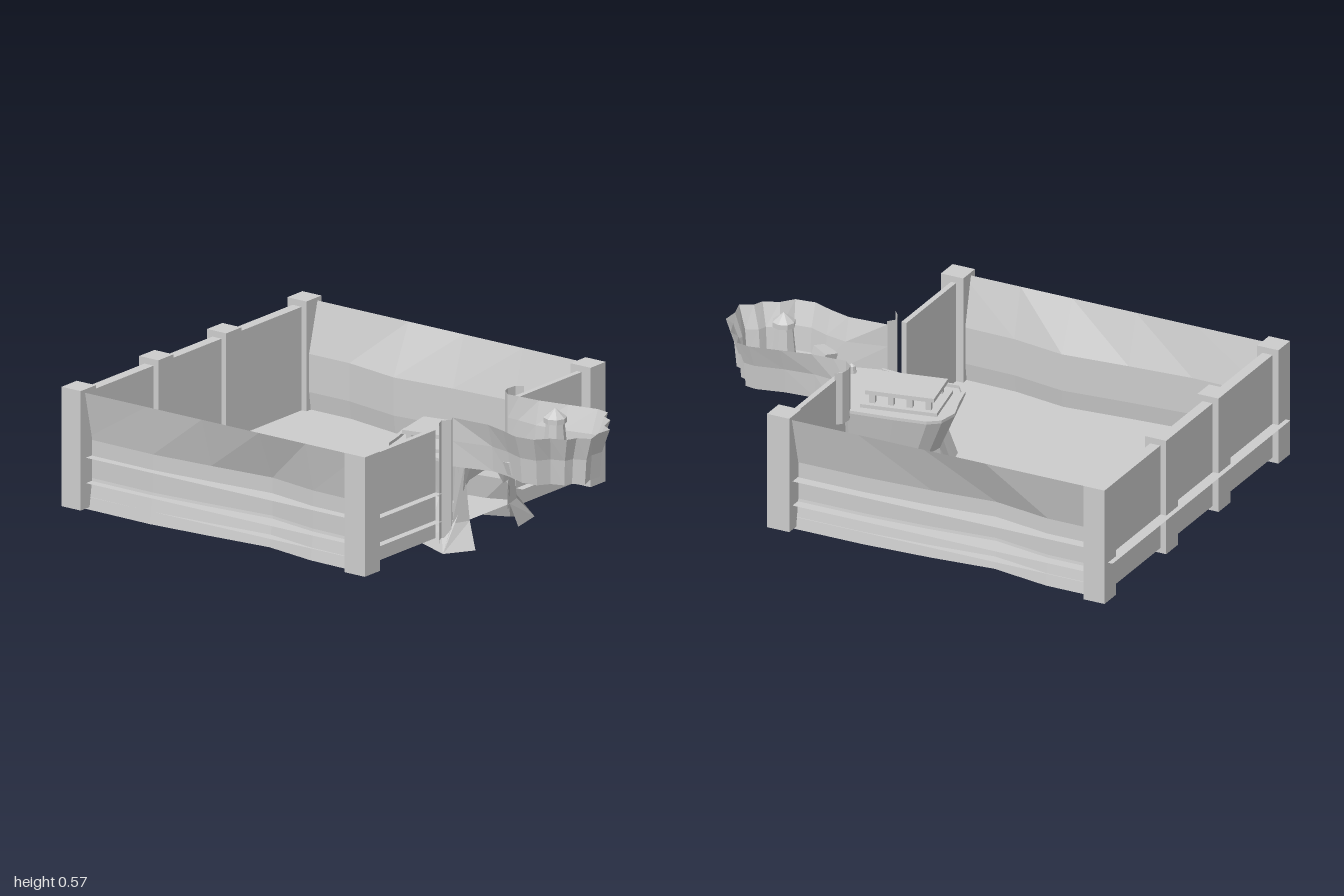
import * as THREE from 'three';

const mat = new THREE.MeshStandardMaterial({ color: 0xcccccc, flatShading: true, side: THREE.DoubleSide });

export function createModel() {
  const root = new THREE.Group();

  function add(name, geo, x = 0, y = 0, z = 0, parent = root) {
    const m = new THREE.Mesh(geo, mat);
    m.name = name;
    m.position.set(x, y, z);
    parent.add(m);
    return m;
  }
  const box = (name, x0, x1, y0, y1, z0, z1) =>
    add(name, new THREE.BoxGeometry(x1 - x0, y1 - y0, z1 - z0), (x0 + x1) / 2, (y0 + y1) / 2, (z0 + z1) / 2);

  // Sheet spanning rows of [x, y, z] points
  function sheet(name, rows) {
    const n = rows[0].length, idx = [];
    for (let r = 0; r < rows.length - 1; r++)
      for (let i = 0; i < n - 1; i++) {
        const a = r * n + i, b = a + n;
        idx.push(a, b, a + 1, a + 1, b, b + 1);
      }
    const g = new THREE.BufferGeometry();
    g.setAttribute('position', new THREE.Float32BufferAttribute(rows.flat(2), 3));
    g.setIndex(idx);
    const flat = g.toNonIndexed();
    flat.computeVertexNormals();
    return add(name, flat);
  }
  // Horizontal plate from an [x, z] outline
  function plate(name, pts, y) {
    const g = new THREE.ShapeGeometry(new THREE.Shape(pts.map(p => new THREE.Vector2(p[0], -p[1]))));
    g.rotateX(-Math.PI / 2);
    return add(name, g, 0, y, 0);
  }
  const at = (pts, y) => pts.map(p => [p[0], y, p[1]]);

  // Yard floor
  plate('floor', [[-0.92, 0.68], [0.41, 0.68], [0.41, -0.69], [-0.92, -0.69]], 0.078);

  // Corner and intermediate posts
  for (const z of [-0.705, -0.21, 0.21, 0.69]) box('leftPost', -0.98, -0.89, 0.04, 0.51, z - 0.047, z + 0.047);
  for (const z of [-0.7, 0.695]) box('rightPost', 0.36, 0.455, 0.04, 0.51, z - 0.047, z + 0.047);

  // Long walls: sagging sheets, each with two thin outer ledges
  const longWall = (name, top, bends) => {
    const s = Math.sign(top);
    sheet(name, [
      bends.map(p => [p[0], 0.497, top]),
      bends.map(p => [p[0], 0.3, p[1]]),
      bends.map(p => [p[0], 0.15, p[1]]),
      bends.map(p => [p[0], 0.03, p[1] + s * 0.018]),
    ]);
    for (const y of [0.24, 0.14])
      sheet(name + 'Ledge', [bends.map(p => [p[0], y, p[1] + s * 0.004]), bends.map(p => [p[0], y, top - s * 0.005])]);
  };
  longWall('frontWall', 0.71, [[-0.92, 0.665], [-0.6, 0.67], [-0.34, 0.65], [-0.07, 0.625], [0.15, 0.66], [0.4, 0.665]]);
  longWall('backWall', -0.727, [[-0.92, -0.675], [-0.7, -0.675], [-0.46, -0.635], [-0.2, -0.66], [0.08, -0.675], [0.4, -0.675]]);

  // Short walls with thin ledges
  box('leftWall', -0.955, -0.912, 0.06, 0.485, -0.68, 0.68);
  plate('leftLedge', [[-1, 0.7], [-0.912, 0.7], [-0.912, -0.725], [-1, -0.725]], 0.2);
  for (const [z0, z1] of [[-0.68, -0.25], [0.25, 0.68]]) {
    box('rightWall', 0.39, 0.412, 0.06, 0.485, z0, z1);
    for (const y of [0.24, 0.13])
      plate('rightLedge', [[0.4, z1], [0.442, z1], [0.442, z0], [0.4, z0]], y);
  }

  // Balcony: flared parapet around a floor
  const rim = [
    [0.41, -0.2], [0.46, -0.205], [0.55, -0.21], [0.67, -0.235], [0.79, -0.26], [0.845, -0.25], [0.865, -0.2],
    [0.91, -0.18], [0.935, -0.11], [0.98, -0.085], [0.975, -0.02], [0.995, 0.05], [0.945, 0.075], [0.93, 0.115],
    [0.87, 0.14], [0.83, 0.19], [0.75, 0.2], [0.67, 0.17], [0.58, 0.145], [0.42, 0.155],
  ];
  const inset = k => rim.map(([x, z]) => {
    const w = Math.min(1, Math.max(0, (x - 0.42) / 0.2)) * k;
    const dx = Math.max(0, x - 0.75), dz = z + 0.03, l = Math.hypot(dx, dz);
    return [x - dx / l * w, z - dz / l * w];
  });
  const foot = inset(0.042);
  sheet('parapet', [at(rim, 0.512), at(inset(0.032), 0.42), at(foot, 0.32)]);
  plate('balconyFloor', foot, 0.322);

  // Curled parapet ends beside the wall opening
  const backCurl = [[0.41, -0.2], [0.375, -0.23], [0.365, -0.26], [0.37, -0.3], [0.395, -0.32]];
  const frontCurl = [[0.42, 0.155], [0.435, 0.18], [0.41, 0.21], [0.425, 0.245], [0.45, 0.275]];
  sheet('parapetEnd', [0.512, 0.3].map(y => at(backCurl, y)));
  sheet('parapetEnd', [0.512, 0.05].map(y => at(frontCurl, y)));
  sheet('openingEdge', [0.3, 0.06].map(y => at([[0.41, -0.2], [0.4, -0.25]], y)));

  // Inner platform with a low rim and an undercut hollow skirt
  const deck = [
    [0.44, 0.145], [0.3, 0.135], [0.2, 0.14], [0.1, 0.155], [0.065, 0.11], [0.04, 0.01],
    [0.01, -0.08], [0.025, -0.16], [0.07, -0.195], [0.2, -0.22], [0.38, -0.245], [0.43, -0.2],
  ];
  const base = [
    [0.44, 0.24], [0.32, 0.19], [0.22, 0.15], [0.1, 0.14], [0.06, 0.1], [0.045, 0.01],
    [0.04, -0.08], [0.06, -0.15], [0.1, -0.18], [0.22, -0.22], [0.36, -0.28], [0.43, -0.34],
  ];
  const shrink = (k, cx) => deck.map(([x, z]) => [cx + (x - cx) * k, -0.03 + (z + 0.03) * k]);
  const lip = shrink(0.93, 0.25);
  plate('platformTop', deck, 0.32);
  sheet('platformLip', [at(deck, 0.32), at(deck, 0.332), at(lip, 0.332), at(lip, 0.32)]);
  sheet('platformSkirt', [at(deck, 0.32), at(shrink(0.84, 0.44), 0.17), at(base, 0)]);

  // Flaps either side of the doorway and a sagging lintel
  sheet('doorFlap', [[[0.43, 0.32, 0.15], [0.45, 0.32, 0.12]], [[0.43, 0.1, 0.17], [0.46, 0.1, 0.1]], [[0.44, 0, 0.24], [0.51, 0, 0.13]]]);
  sheet('doorFlap', [[[0.43, 0.32, -0.2], [0.45, 0.32, -0.17]], [[0.43, 0.1, -0.23], [0.45, 0.1, -0.16]], [[0.43, 0, -0.34], [0.46, 0, -0.2]]]);
  const sag = [[0.13, 0.22], [0.09, 0.255], [0, 0.27], [-0.08, 0.25], [-0.12, 0.19], [-0.17, 0.2]];
  sheet('doorLintel', [sag.map(p => [0.46, 0.32, p[0]]), sag.map(p => [0.45, p[1], p[0]])]);

  // Canopy on short pillars
  const canopy = new THREE.Group();
  canopy.name = 'canopy';
  canopy.position.set(0.235, 0.32, -0.043);
  canopy.rotation.y = 0.2;
  root.add(canopy);
  add('canopyBase', new THREE.BoxGeometry(0.3, 0.014, 0.215), 0, 0.007, 0, canopy);
  add('canopyRoof', new THREE.BoxGeometry(0.27, 0.016, 0.185), 0, 0.058, 0, canopy);
  for (let i = 0; i < 4; i++)
    for (const z of [-0.075, 0.075])
      add('canopyPillar', new THREE.BoxGeometry(0.022, 0.04, 0.022), -0.11 + i * 0.0733, 0.032, z, canopy);

  // Pointed stone pillar, smaller stubs and a loose block
  const lathe = pts => new THREE.LatheGeometry(pts.map(p => new THREE.Vector2(p[0], p[1])), 8);
  add('stonePillar', lathe([[0, -0.003], [0.062, -0.003], [0.05, 0.05], [0.036, 0.19], [0.045, 0.192], [0.045, 0.212], [0, 0.248]]), 0.76, 0.32, -0.035);
  add('smallStub', lathe([[0, -0.003], [0.034, -0.003], [0.026, 0.04], [0, 0.055]]), 0.573, 0.32, -0.037);
  add('smallStub', lathe([[0, -0.003], [0.018, -0.003], [0.014, 0.03], [0, 0.04]]), 0.53, 0.32, 0.077);
  add('looseBlock', new THREE.BoxGeometry(0.075, 0.05, 0.06), 0.66, 0.355, 0.1).rotation.set(0.2, -0.4, 0.25);

  return root;
}
